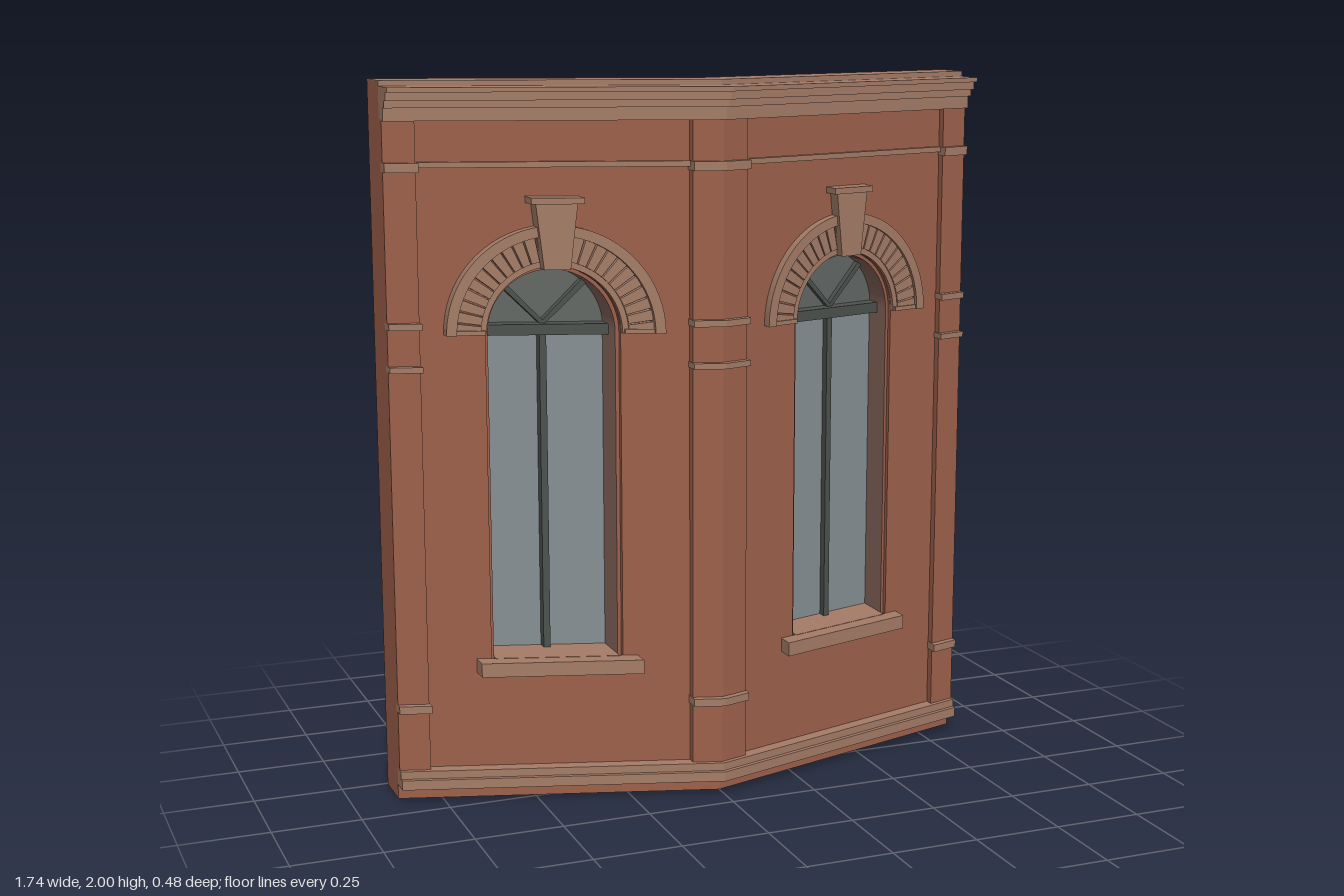
import * as THREE from 'three';
import { mergeGeometries } from 'three/addons/utils/BufferGeometryUtils.js';

const SLOPE = 0.305;   // each wing falls back from the centre ridge
const COS = 0.957;     // foreshortening of the wing along x
const END = 0.868;     // half width of the facade
const BACK = 0.02, WALL = 0.145, PIER = 0.17;
const SPRING = 1.32, SILL_Y = 0.4, WIN_X = 0.435;

const mat = (name, color) => Object.assign(new THREE.MeshStandardMaterial({ color }), { name });

// Folds a flat facade geometry along x = 0 and gives it flat normals.
function fold(geo) {
  const g = geo.index ? geo.toNonIndexed() : geo;
  const p = g.attributes.position;
  for (let i = 0; i < p.count; i++) p.setZ(i, p.getZ(i) - SLOPE * Math.abs(p.getX(i)));
  g.computeVertexNormals();
  return g;
}

function block(x0, x1, y0, y1, d0, d1) {
  const g = new THREE.BoxGeometry(x1 - x0, y1 - y0, d1 - d0);
  return fold(g.translate((x0 + x1) / 2, (y0 + y1) / 2, (d0 + d1) / 2));
}

// The same block on both wings.
const pair = (x0, x1, ...rest) => [block(x0, x1, ...rest), block(-x1, -x0, ...rest)];

const slab = (shape, d0, d1, segs = 24) =>
  fold(new THREE.ExtrudeGeometry(shape, { depth: d1 - d0, bevelEnabled: false, curveSegments: segs })
    .translate(0, 0, d0));

// Round-headed window outline; r is the true radius in the wing plane.
function archPath(path, cx, r, y0) {
  path.moveTo(cx - r * COS, y0);
  path.lineTo(cx + r * COS, y0);
  path.lineTo(cx + r * COS, SPRING);
  path.absellipse(cx, SPRING, r * COS, r, 0, Math.PI, false, 0);
  path.closePath();
  return path;
}

// Part of a ring around the arch centre.
function ringPart(cx, r0, r1, a0, a1) {
  const s = new THREE.Shape();
  s.absellipse(cx, SPRING, r1 * COS, r1, a0, a1, false, 0);
  s.absellipse(cx, SPRING, r0 * COS, r0, a1, a0, true, 0);
  s.closePath();
  return s;
}

function polygon(points) {
  return new THREE.Shape(points.map(([x, y]) => new THREE.Vector2(x, y)));
}

export function createModel() {
  const brick = mat('brick', 0x9e614c);
  const stone = mat('stone', 0xa67d68);
  const reveal = mat('reveal', 0x8c6a60);
  const glass = mat('glass', 0x879095);
  const darkGlass = mat('darkGlass', 0x636966);
  const frame = mat('frame', 0x4e534f);

  const model = new THREE.Group();
  model.name = 'angledFacade';
  const add = (name, geos, material, parent = model) => {
    const list = [].concat(geos);
    const mesh = new THREE.Mesh(list.length > 1 ? mergeGeometries(list) : list[0], material);
    mesh.name = name;
    parent.add(mesh);
  };

  // Walls with round-headed openings
  for (const side of [1, -1]) {
    const x0 = side > 0 ? 0 : -END, x1 = side > 0 ? END : 0;
    const s = polygon([[x0, 0], [x1, 0], [x1, 1.997], [x0, 1.997]]);
    s.holes.push(archPath(new THREE.Path(), side * WIN_X, 0.183, SILL_Y));
    add(side > 0 ? 'leftWall' : 'rightWall', slab(s, BACK, WALL), brick);
  }
  add('wallCap', [...pair(0, END, 1.997, 2, BACK, WALL), ...pair(0, END, 1.98, 2, WALL - 0.01, WALL + 0.002)], stone);

  // Piers at the ridge and at both ends
  add('centrePier', pair(0, 0.08, 0.09, 1.9, WALL, PIER), brick);
  add('endPiers', pair(0.785, END, 0.09, 1.9, WALL, PIER), brick);

  // Stone bands around the piers and across the wall
  const bands = [];
  for (const [y0, y1] of [[0.262, 0.284], [1.222, 1.238], [1.338, 1.356], [1.76, 1.785]]) {
    bands.push(...pair(0, 0.083, y0, y1, WALL, 0.19), ...pair(0.782, END, y0, y1, WALL, 0.19));
  }
  add('pierBands', bands, stone);
  add('stringCourse', pair(0.08, 0.785, 1.77, 1.785, WALL, 0.16), stone);

  // Stepped base and cornice
  const steps = (rows) => rows.flatMap(([y0, y1, d]) => pair(0, END, y0, y1, WALL, d));
  add('baseMoulding', steps([[0.042, 0.07, 0.197], [0.07, 0.092, 0.184]]), stone);
  add('cornice', steps([
    [1.895, 1.93, 0.188], [1.93, 1.95, 0.205], [1.95, 1.972, 0.222], [1.972, 1.985, 0.24],
  ]), stone);

  for (const side of [1, -1]) {
    const cx = side * WIN_X;
    const win = new THREE.Group();
    win.name = side > 0 ? 'leftWindow' : 'rightWindow';
    model.add(win);
    const box = (a, b, ...rest) => block(cx + a, cx + b, ...rest);

    // Stepped lining of the opening
    const lining = archPath(new THREE.Shape(), cx, 0.183, SILL_Y);
    lining.holes.push(archPath(new THREE.Path(), cx, 0.173, SILL_Y + 0.003));
    add('lining', slab(lining, BACK, 0.13), [brick, reveal], win);

    // Glazing
    add('pane', slab(archPath(new THREE.Shape(), cx, 0.183, SILL_Y), BACK - 0.006, BACK + 0.002), glass, win);
    add('fanlight', slab(ringPart(cx, 0.001, 0.174, 0, Math.PI), BACK + 0.002, BACK + 0.006), darkGlass, win);
    add('transom', box(-0.166, 0.166, 1.305, 1.335, BACK, 0.075), frame, win);
    add('mullion', box(-0.009, 0.009, SILL_Y, 1.31, BACK, 0.05), frame, win);
    add('fanBars', [1, -1].map((m) => {
      const pts = [[-0.008, 1.335], [0.008, 1.335], [0.122, 1.452], [0.111, 1.463]];
      return slab(polygon(pts.map(([x, y]) => [cx + m * x, y])), BACK, 0.05);
    }), frame, win);

    // Sill, running back into the opening
    add('sill', [
      box(-0.215, 0.215, 0.365, 0.405, WALL, 0.197),
      box(-0.165, 0.165, 0.399, 0.406, BACK + 0.002, 0.15),
    ], stone, win);

    // Arch: outer hood, inner rim and wedge stones
    add('hoodMould', slab(ringPart(cx, 0.268, 0.296, 0, Math.PI), WALL, 0.178), stone, win);
    add('archRim', slab(ringPart(cx, 0.184, 0.2, 0, Math.PI), WALL, 0.16), stone, win);
    const wedges = [];
    const count = 25, step = Math.PI / count;
    for (let i = 0; i < count; i++) {
      wedges.push(slab(ringPart(cx, 0.2, 0.268, (i + 0.07) * step, (i + 0.93) * step), WALL, 0.165, 2));
    }
    add('archStones', wedges, stone, win);
    add('archFeet', [1, -1].map((m) => {
      const a = m * 0.18, b = m * 0.283;
      return box(Math.min(a, b), Math.max(a, b), SPRING, SPRING + 0.012, WALL, 0.17);
    }), stone, win);

    // Keystone with cap
    add('keystone', [
      slab(polygon([[cx - 0.034, 1.498], [cx + 0.034, 1.498], [cx + 0.054, 1.677], [cx - 0.054, 1.677]]), WALL, 0.192),
      box(-0.068, 0.068, 1.675, 1.692, WALL, 0.203),
    ], stone, win);
  }
  return model;
}
